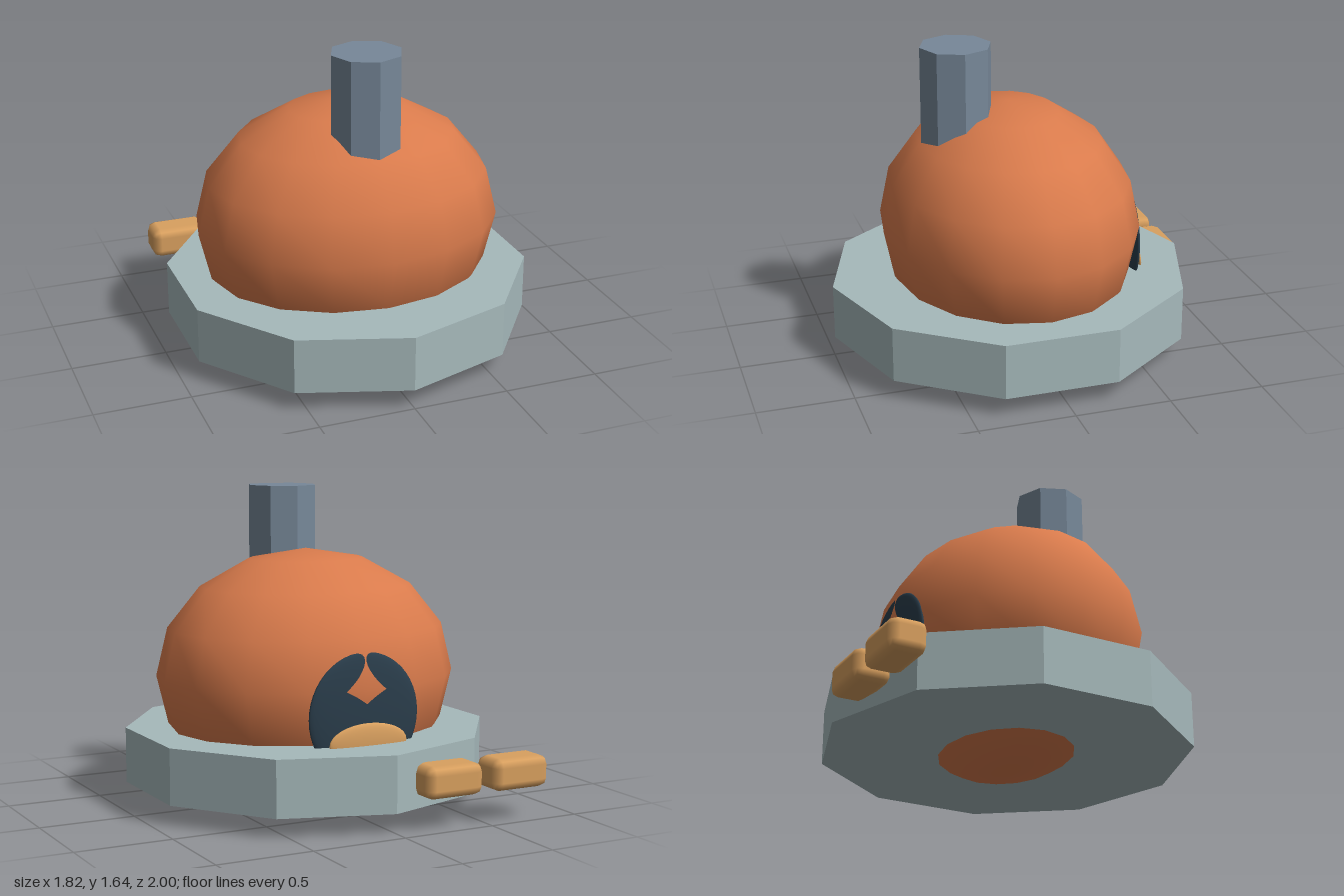
import * as THREE from 'three';
import { RoundedBoxGeometry } from 'three/addons/geometries/RoundedBoxGeometry.js';

function makeMaterial(name, color, flatShading = false) {
  const material = new THREE.MeshStandardMaterial({ color, flatShading });
  material.name = name;
  return material;
}

export function createModel() {
  const model = new THREE.Group();
  model.name = 'domedHouse';

  const clay = makeMaterial('clay orange', 0xd97b4c);
  const stone = makeMaterial('pale stone', 0xa6b9bb, true);
  const slate = makeMaterial('slate', 0x778899, true);
  const dark = makeMaterial('dark blue', 0x2a3d4b);
  const tan = makeMaterial('tan', 0xd9a05f);

  function add(name, geometry, material, x, y, z) {
    const mesh = new THREE.Mesh(geometry, material);
    mesh.name = name;
    mesh.position.set(x, y, z);
    model.add(mesh);
    return mesh;
  }

  // Sphere stretched to three radii
  function ellipsoid(rx, ry, rz, across, down) {
    return new THREE.SphereGeometry(1, across, down).scale(rx, ry, rz);
  }

  // Dome body, its lower half sunk through the base
  add('dome', ellipsoid(0.81, 0.66, 0.675, 16, 8), clay, 0, 0.67, 0.04);

  // Ten-sided base slab
  add('base', new THREE.CylinderGeometry(0.957, 0.957, 0.29, 10), stone, 0, 0.255, 0.038);

  // Eight-sided chimney, set into the dome
  add('chimney', new THREE.CylinderGeometry(0.187, 0.187, 0.65, 8), slate, 0, 1.325, 0.318);

  // Opening and doorstep on the back of the dome
  add('doorway', ellipsoid(0.31, 0.32, 0.035, 32, 24), dark, 0, 0.54, -0.587);
  add('doorstep', ellipsoid(0.22, 0.1, 0.023, 32, 16), tan, 0, 0.41, -0.635);

  // Pair of bevelled blocks beside the base
  for (const x of [-0.68, -0.293]) {
    add('block', new RoundedBoxGeometry(0.323, 0.165, 0.193, 1, 0.045), tan, x, 0.252, -0.904);
  }

  return model;
}
